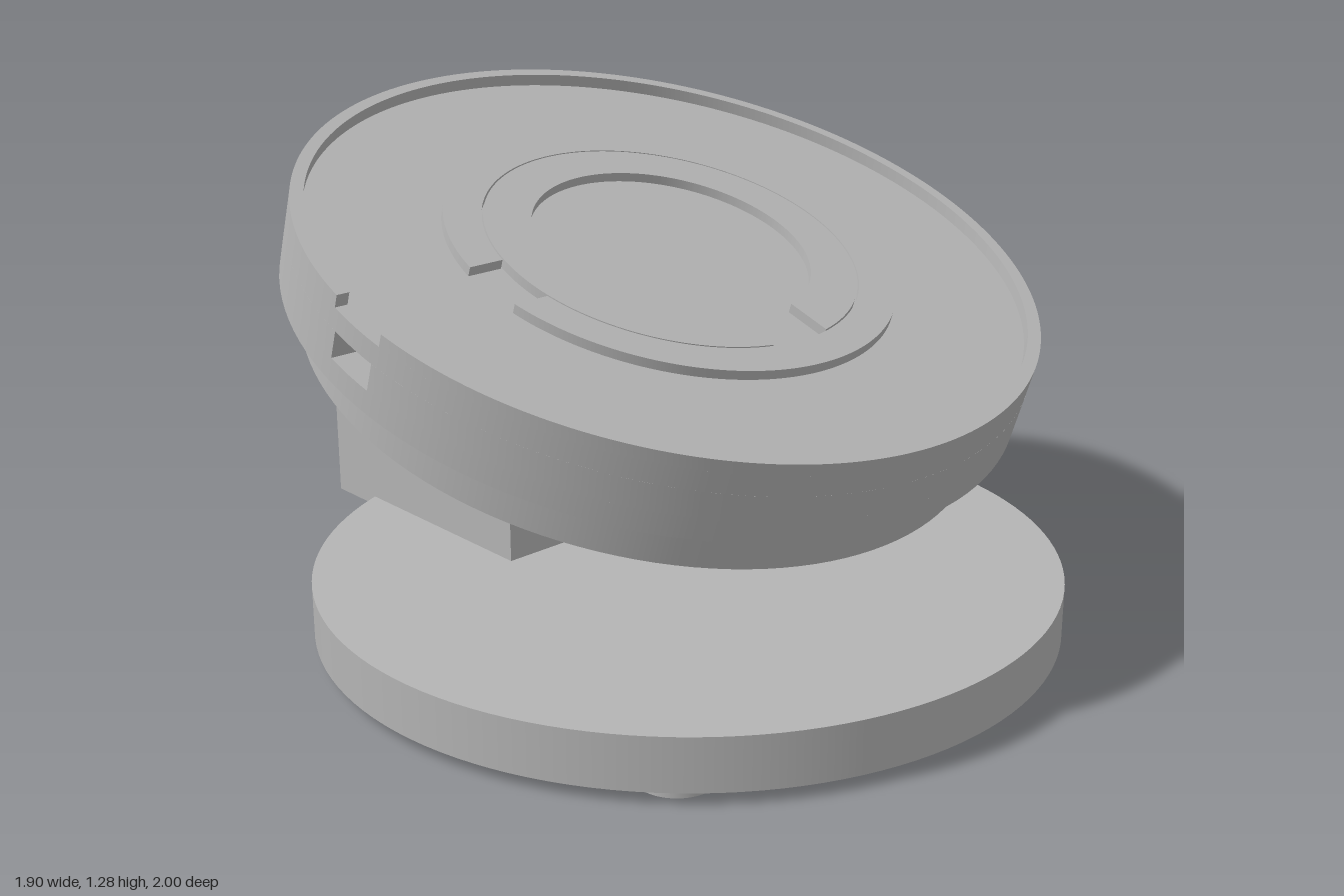
import * as THREE from 'three';
import { toCreasedNormals } from 'three/addons/utils/BufferGeometryUtils.js';

const SEGMENTS = 128;

export function createModel() {
  const grey = new THREE.MeshStandardMaterial({ color: 0xb4b4b4 });
  grey.name = 'grey';

  const model = new THREE.Group();
  model.name = 'tiltedDiscStand';

  function add(parent, name, geometry, x = 0, y = 0, z = 0) {
    const mesh = new THREE.Mesh(geometry, grey);
    mesh.name = name;
    mesh.position.set(x, y, z);
    parent.add(mesh);
    return mesh;
  }

  // Upright disc between two heights
  function disc(parent, name, radius, y0, y1, x = 0, z = 0, segments = SEGMENTS) {
    const geometry = new THREE.CylinderGeometry(radius, radius, y1 - y0, segments);
    return add(parent, name, geometry, x, (y0 + y1) / 2, z);
  }

  // Flat ring with a straight-sided gap; gapAngle 0 is +x, PI is -x, -PI/2 is +z
  function openRing(parent, name, inner, outer, y0, y1, gapAngle, halfGap) {
    const a = Math.asin(halfGap / outer);
    const b = Math.asin(halfGap / inner);
    const shape = new THREE.Shape();
    shape.absarc(0, 0, outer, gapAngle + a, gapAngle + 2 * Math.PI - a, false);
    shape.absarc(0, 0, inner, gapAngle + 2 * Math.PI - b, gapAngle + b, true);
    shape.closePath();
    const extruded = new THREE.ExtrudeGeometry(shape, {
      depth: y1 - y0, bevelEnabled: false, curveSegments: SEGMENTS,
    });
    extruded.rotateX(-Math.PI / 2);
    return add(parent, name, toCreasedNormals(extruded, 0.5), 0, y0, 0);
  }

  // Round base on four feet
  const baseZ = 0.05;
  disc(model, 'base', 0.95, 0.03, 0.165, 0, baseZ);
  for (const sx of [-1, 1]) {
    for (const sz of [-1, 1]) {
      disc(model, 'foot', 0.1, 0, 0.03, sx * 0.58, baseZ + sz * 0.58, 40);
    }
  }

  // Block post at the back, running up into the head
  add(model, 'post', new THREE.BoxGeometry(0.7, 0.875, 0.765), 0, 0.5775, -0.6175);

  // Tilted head; local y = 0 is the top of its rim
  const head = new THREE.Group();
  head.name = 'head';
  head.position.set(0, 0.992, -0.0055);
  head.rotation.x = THREE.MathUtils.degToRad(18);
  model.add(head);

  const floor = -0.032;
  const portTop = -0.085;
  const portBottom = -0.155;

  // Body in layers, leaving a port opening in the -x side
  disc(head, 'deck', 0.93, portTop, floor);
  openRing(head, 'portWall', 0.8, 0.93, portBottom, portTop, Math.PI, 0.07);
  disc(head, 'core', 0.8, portBottom, portTop);
  disc(head, 'lowerBody', 0.93, -0.212, portBottom);
  disc(head, 'underside', 0.865, -0.334, -0.212);
  disc(head, 'undersidePad', 0.563, -0.355, -0.334);

  // Raised rim and the two centre rings, each with its gap
  openRing(head, 'rim', 0.897, 0.93, floor, 0, Math.PI, 0.085);
  openRing(head, 'outerRing', 0.472, 0.566, floor, floor + 0.024, Math.PI, 0.085);
  openRing(head, 'innerRing', 0.35, 0.468, floor, floor + 0.024, -Math.PI / 2, 0.088);

  return model;
}
